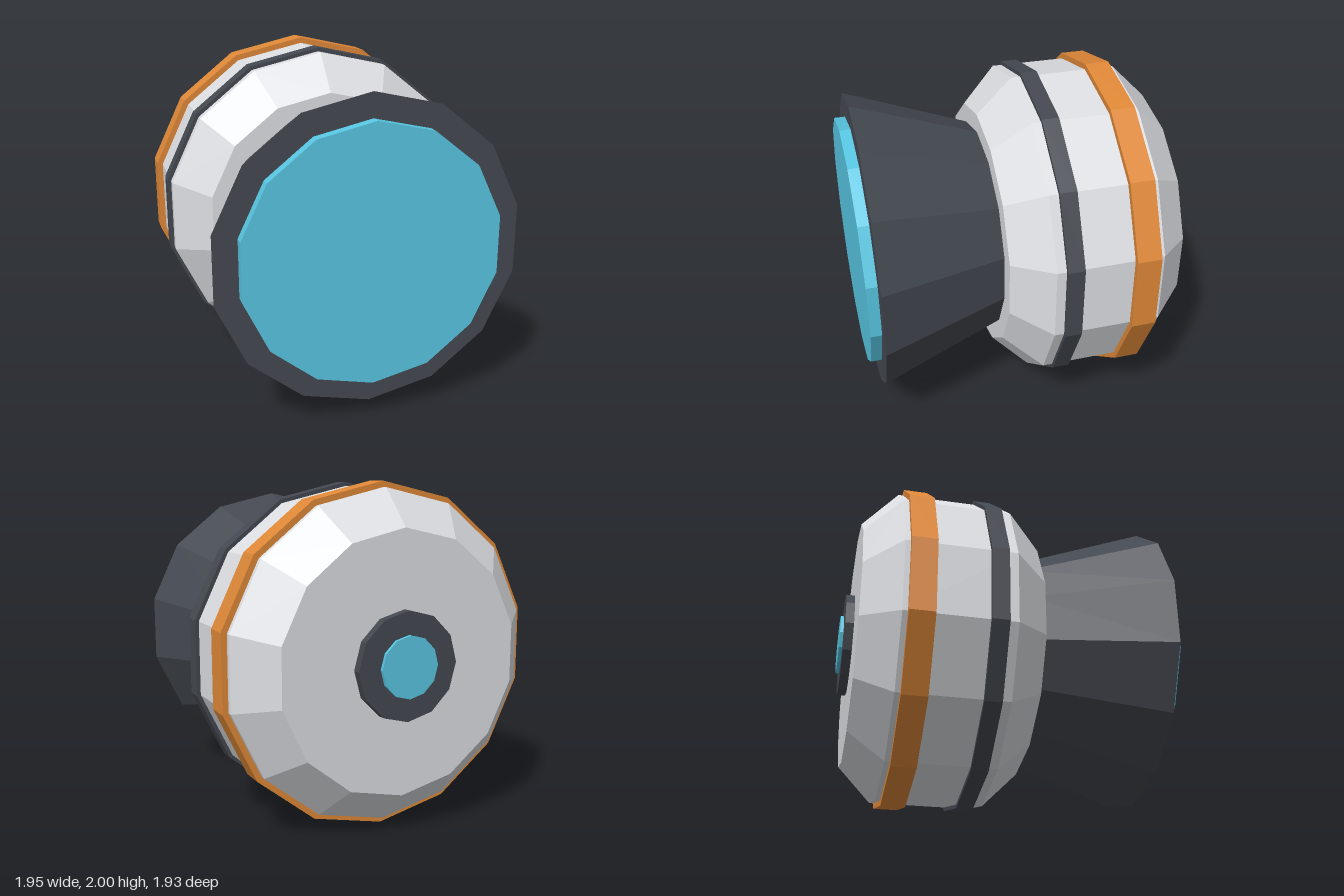
import * as THREE from 'three';

const paint = (name, color) => {
  const m = new THREE.MeshStandardMaterial({ color, flatShading: true });
  m.name = name;
  return m;
};

export function createModel() {
  const shell = paint('pale grey shell', 0xdcdee2);
  const dark = paint('dark grey', 0x444850);
  const orange = paint('orange', 0xdf8838);
  const cyan = paint('cyan glow', 0x58c6e2);

  const group = new THREE.Group();
  group.name = 'thruster';

  // Faceted drum lying along z, centred at y = 1
  const drum = (name, mat, zBack, zFront, rBack, rFront = rBack, sides = 14) => {
    const geo = new THREE.CylinderGeometry(rFront, rBack, zFront - zBack, sides);
    geo.rotateX(Math.PI / 2);
    const mesh = new THREE.Mesh(geo, mat);
    mesh.name = name;
    mesh.position.set(0, 1, (zBack + zFront) / 2);
    group.add(mesh);
  };

  // Chamfered body turned from a closed profile of [radius, z]
  const profile = [[0, -0.89], [0.755, -0.89], [0.965, -0.68], [0.965, -0.05], [0.755, 0.16], [0, 0.16]];
  const bodyGeo = new THREE.LatheGeometry(profile.map(([r, z]) => new THREE.Vector2(r, z)), 14);
  bodyGeo.rotateX(Math.PI / 2);
  const body = new THREE.Mesh(bodyGeo, shell);
  body.name = 'body';
  body.position.y = 1;
  group.add(body);

  // Bands around the body
  drum('orangeBand', orange, -0.65, -0.505, 1);
  drum('darkBand', dark, -0.205, -0.105, 0.988);

  // Flared nozzle and its glowing disc
  drum('nozzle', dark, 0.1, 0.9, 0.62, 0.9);
  drum('nozzleGlow', cyan, 0.85, 0.965, 0.757);

  // Small rear port
  drum('rearPort', dark, -0.942, -0.85, 0.312, 0.312, 12);
  drum('rearPortGlow', cyan, -0.962, -0.9, 0.178, 0.178, 12);

  return group;
}
